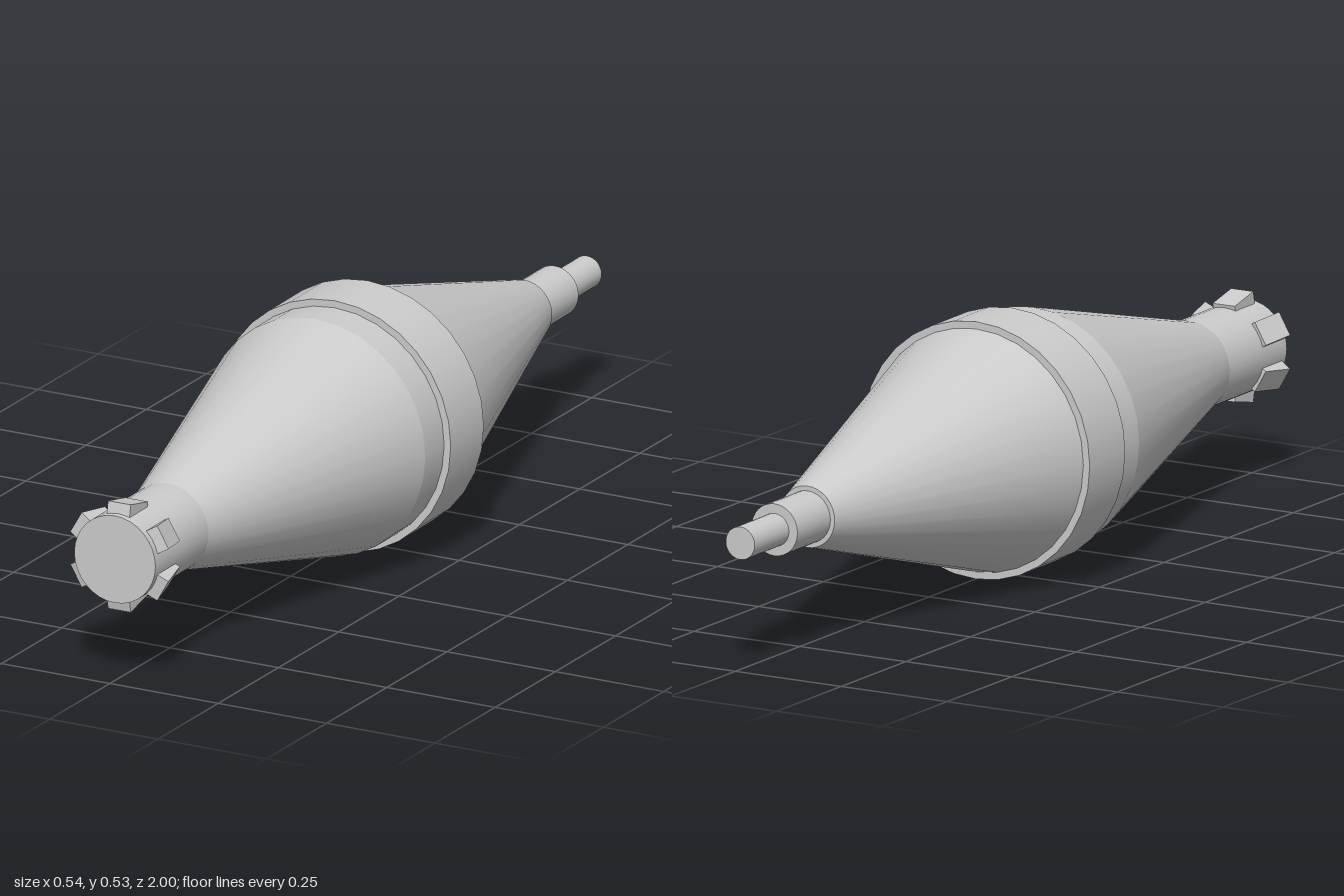
import * as THREE from 'three';

export function createModel() {
  const model = new THREE.Group();
  const material = new THREE.MeshStandardMaterial({ color: 0xcccccc });
  const SIDES = 32;

  // Round section along z, from the back end to the front end
  function section(name, zBack, rBack, zFront, rFront) {
    const geometry = new THREE.CylinderGeometry(rFront, rBack, zFront - zBack, SIDES);
    geometry.rotateX(Math.PI / 2);
    const mesh = new THREE.Mesh(geometry, material);
    mesh.name = name;
    mesh.position.z = (zBack + zFront) / 2;
    model.add(mesh);
  }

  // Body, from the tip at the back to the neck at the front
  section('tip', -1, 0.034, -0.865, 0.034);
  section('tipCollar', -0.865, 0.054, -0.735, 0.054);
  section('rearCone', -0.735, 0.064, -0.07, 0.252);
  section('middleBand', -0.07, 0.267, 0.07, 0.267);
  section('bodyDrum', 0.07, 0.252, 0.15, 0.252);
  section('frontCone', 0.15, 0.252, 0.775, 0.093);
  section('frontNeck', 0.775, 0.093, 1, 0.093);

  // Six lugs around the neck, flaring outwards to the front
  const lugGeometry = new THREE.BoxGeometry(0.052, 0.03, 0.075);
  lugGeometry.rotateX(-0.21);
  lugGeometry.translate(0, 0.0925, 0.947);
  for (let i = 0; i < 6; i++) {
    const lug = new THREE.Mesh(lugGeometry, material);
    lug.name = 'lug' + (i + 1);
    lug.rotation.z = (i * Math.PI) / 3;
    model.add(lug);
  }

  // Whole body rests on the band, turned very slightly
  model.rotation.y = 0.0115;
  model.position.y = 0.267;
  const root = new THREE.Group();
  root.name = 'spindleBody';
  root.add(model);
  return root;
}
